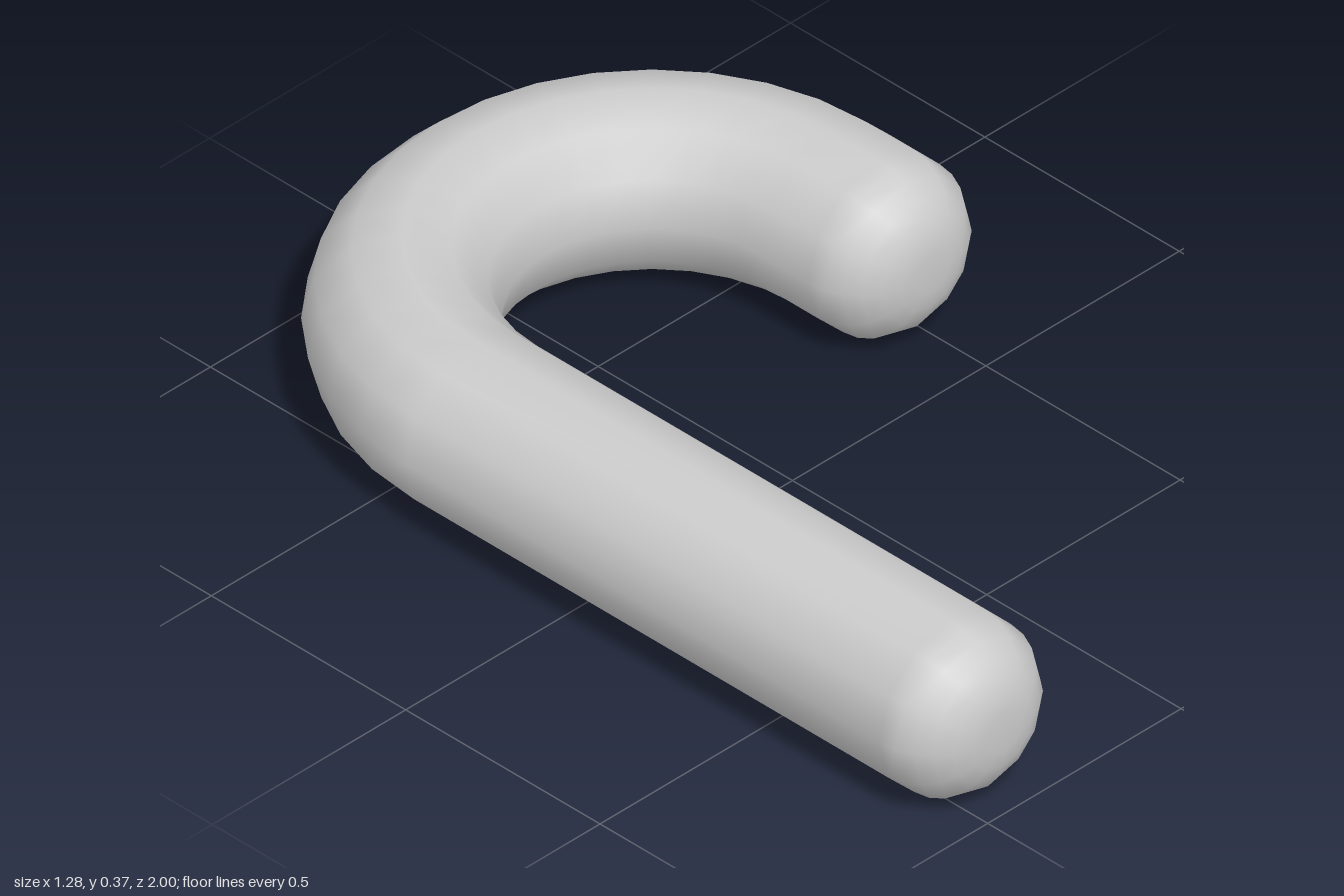
import * as THREE from 'three';
import { mergeVertices } from 'three/addons/utils/BufferGeometryUtils.js';

const SIDES = 12, BEND_STEPS = 16, CAP_STEPS = 6;
const R = 0.183;        // tube radius
const BEND = 0.458;     // radius of the hook's centre line
const BEND_Z = -0.36;   // centre of the hook
const ROUND = 0.14;     // rounding of the two ends

export function createModel() {
  // Stations along the cane: centre, outward direction and ring radius
  const stations = [];
  const add = (angle, z, r) => {
    const ox = -Math.cos(angle), oz = -Math.sin(angle);
    stations.push({ x: ox * BEND, z: z + oz * BEND, ox, oz, r });
  };

  // Rounded end as [z, radius] pairs, from the tip to the full tube
  const cap = (tipZ) => {
    const rings = [[tipZ, 0]];
    for (let i = 0; i <= CAP_STEPS; i++) {
      const t = (i / CAP_STEPS) * Math.PI / 2;
      rings.push([tipZ - ROUND * (1 - Math.cos(t)), R - ROUND * (1 - Math.sin(t))]);
    }
    return rings;
  };

  // Long shaft end, hook, short hook end
  cap(1).forEach(([z, r]) => add(0, z, r));
  for (let i = 0; i <= BEND_STEPS; i++) add(Math.PI * i / BEND_STEPS, BEND_Z, R);
  cap(-0.095).reverse().forEach(([z, r]) => add(Math.PI, z, r));

  // Skin the rings
  const positions = [], index = [];
  stations.forEach(({ x, z, ox, oz, r }, i) => {
    for (let j = 0; j < SIDES; j++) {
      const t = (j / SIDES) * Math.PI * 2;
      const out = Math.cos(t) * r;
      positions.push(x + ox * out, R + Math.sin(t) * r, z + oz * out);
      if (i === stations.length - 1) continue;
      const a = i * SIDES + j, b = i * SIDES + (j + 1) % SIDES;
      if (i > 0) index.push(a, b, a + SIDES);
      if (i < stations.length - 2) index.push(b, b + SIDES, a + SIDES);
      else continue;
    }
  });
  let geometry = new THREE.BufferGeometry();
  geometry.setAttribute('position', new THREE.Float32BufferAttribute(positions, 3));
  geometry.setIndex(index);
  geometry = mergeVertices(geometry, 1e-5);
  geometry.computeVertexNormals();

  const cane = new THREE.Mesh(geometry, new THREE.MeshStandardMaterial({ color: 0xcccccc }));
  cane.name = 'hookedCane';
  const group = new THREE.Group();
  group.name = 'cane';
  group.add(cane);
  return group;
}
